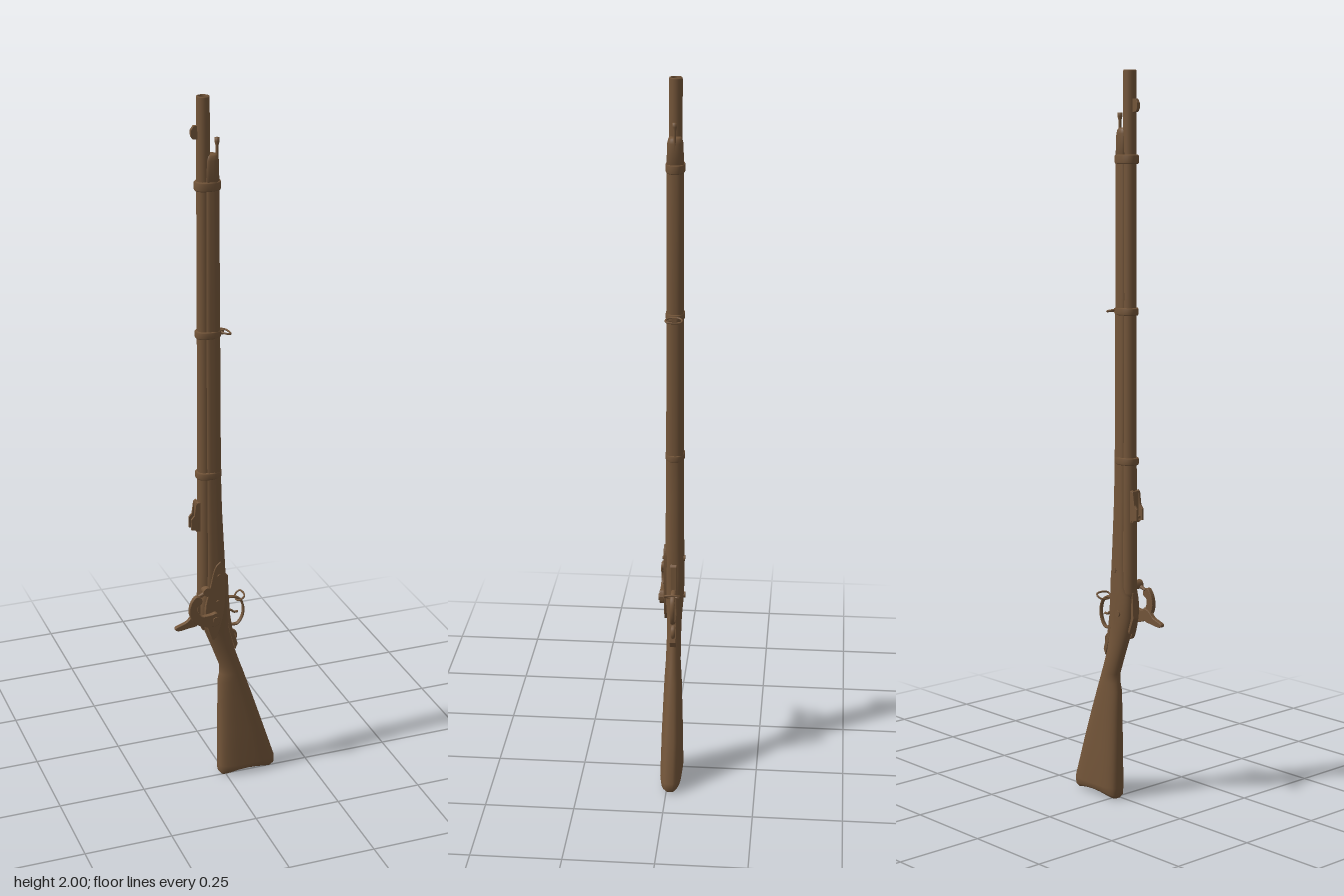
import * as THREE from 'three';

const Z0 = -0.01;      // mid-plane of the gun
const BARREL_X = -0.058;
const mat = new THREE.MeshStandardMaterial({ color: 0x735539, side: THREE.DoubleSide });

// Loft of rounded sections: rows of [y, xLeft, xRight, halfZ, leftPower, rightPower, lift]
function loft(rows, n = 36) {
  const pos = [], idx = [];
  for (const [y, xl, xr, hz, pl = 1, pr = 1, lift = 0] of rows) {
    for (let i = 0; i < n; i++) {
      const a = (i / n) * Math.PI * 2, c = Math.cos(a), s = Math.sin(a);
      const p = c < 0 ? pl : pr;
      const u = Math.sign(c) * Math.abs(c) ** p, v = Math.sign(s) * Math.abs(s) ** p;
      pos.push((xl + xr) / 2 + (u * (xr - xl)) / 2, y + lift * (1 - u * u), Z0 + v * hz);
    }
  }
  const m = rows.length;
  for (let r = 0; r < m - 1; r++) {
    for (let i = 0; i < n; i++) {
      const a = r * n + i, b = r * n + ((i + 1) % n);
      idx.push(a, a + n, b, b, a + n, b + n);
    }
  }
  // End caps
  for (const r of [0, m - 1]) {
    const [y, xl, xr, , , , lift = 0] = rows[r], centre = pos.length / 3;
    pos.push((xl + xr) / 2, y + lift, Z0);
    for (let i = 0; i < n; i++) {
      const a = r * n + i, b = r * n + ((i + 1) % n);
      idx.push(centre, ...(r === 0 ? [a, b] : [b, a]));
    }
  }
  const g = new THREE.BufferGeometry();
  g.setAttribute('position', new THREE.Float32BufferAttribute(pos, 3));
  g.setIndex(idx);
  g.computeVertexNormals();
  return g;
}

// Tube through points
function tube(points, radius, closed = false) {
  const curve = new THREE.CatmullRomCurve3(points.map((p) => new THREE.Vector3(...p)), closed);
  return new THREE.TubeGeometry(curve, 40, radius, 8, closed);
}

// Flat plate from a smooth or straight outline in x/y, spanning z0..z1
function plate(points, z0, z1, smooth = true, bevel = 0.002) {
  const v = points.map((p) => new THREE.Vector2(...p));
  const shape = smooth
    ? new THREE.Shape(new THREE.SplineCurve([...v, v[0]]).getPoints(64).slice(0, -1))
    : new THREE.Shape(v);
  const g = new THREE.ExtrudeGeometry(shape, {
    depth: z1 - z0 - 2 * bevel, bevelEnabled: bevel > 0,
    bevelThickness: bevel, bevelSize: bevel * 0.8, bevelSegments: 2,
  });
  return g.translate(0, 0, z0 + bevel);
}

export function createModel() {
  const model = new THREE.Group();
  const add = (name, geometry, x = 0, y = 0, z = 0) => {
    const mesh = new THREE.Mesh(geometry, mat);
    mesh.name = name;
    mesh.position.set(x, y, z);
    model.add(mesh);
    return mesh;
  };
  const screw = (name, x, y, z, r = 0.006, len = 0.006) =>
    add(name, new THREE.CylinderGeometry(r, r, len, 16).rotateX(Math.PI / 2), x, y, z);

  // Stock from butt to fore-end
  add('stock', loft([
    [0.003, -0.012, 0.142, 0.024, 0.6, 0.7, 0.014],
    [0.012, -0.019, 0.151, 0.029, 0.6, 0.7, 0.01],
    [0.035, -0.02, 0.152, 0.031, 0.6, 0.7],
    [0.15, -0.02, 0.115, 0.029, 0.7, 0.7],
    [0.25, -0.02, 0.083, 0.026, 0.8, 0.8],
    [0.31, -0.02, 0.063, 0.024, 0.9, 0.9],
    [0.335, -0.015, 0.055, 0.0225],
    [0.36, -0.015, 0.046, 0.021],
    [0.42, -0.037, 0.026, 0.02],
    [0.48, -0.06, 0.013, 0.021],
    [0.53, -0.075, 0.007, 0.025, 0.8, 0.9],
    [0.59, -0.075, 0.004, 0.027, 0.65, 0.8],
    [0.615, -0.062, 0.003, 0.027, 0.5, 0.8],
    [0.7, -0.06, -0.001, 0.026, 0.5, 0.9],
    [0.85, -0.06, -0.009, 0.0245, 0.5, 0.9],
    [0.96, -0.06, -0.012, 0.024, 0.5, 0.9],
    [1.4, -0.06, -0.014, 0.023, 0.5, 0.9],
    [1.78, -0.058, -0.016, 0.0225, 0.5, 0.9],
  ]));
  add('noseCap', loft([
    [1.775, -0.059, -0.0155, 0.023, 0.5, 0.9],
    [1.835, -0.056, -0.017, 0.0205, 0.5, 0.9],
    [1.846, -0.054, -0.02, 0.018, 0.6, 0.9],
    [1.85, -0.05, -0.024, 0.013, 0.6, 0.9],
  ]));

  // Hollow barrel with a thicker breech
  const barrelProfile = [[0, 0.585], [0.019, 0.585], [0.0215, 0.6], [0.0215, 0.68], [0.02, 0.9],
    [0.0185, 1.4], [0.0175, 1.997], [0.0165, 2], [0.0105, 2], [0.0105, 1.94], [0, 1.94]];
  add('barrel', new THREE.LatheGeometry(barrelProfile.map((p) => new THREE.Vector2(...p)), 32), BARREL_X, 0, Z0);
  add('breechTang', plate([[-0.079, 0.6], [-0.082, 0.53], [-0.066, 0.485], [-0.062, 0.49], [-0.072, 0.53], [-0.068, 0.6]],
    Z0 - 0.008, Z0 + 0.008, false, 0.001));

  // Barrel bands
  for (const [name, y, h, grow] of [['frontBand', 1.768, 0.024, 0], ['middleBand', 1.366, 0.02, 0], ['rearBand', 0.962, 0.02, 0.001]]) {
    const ring = (dy, d) => [y + dy, -0.08 - grow - d, -0.0125 + grow + d, 0.0235 + grow + d, 0.85, 0.9];
    add(name, loft([ring(-h / 2, 0), ring(-h / 2 + 0.003, 0.002), ring(h / 2 - 0.003, 0.002), ring(h / 2, 0)]));
  }

  // Ramrod
  const rod = [[0, 1.78], [0.0035, 1.78], [0.0035, 1.868], [0.0065, 1.88], [0.0065, 1.89], [0, 1.89]];
  add('ramrod', new THREE.LatheGeometry(rod.map((p) => new THREE.Vector2(...p)), 16), -0.02, 0, Z0);

  // Front sight
  add('frontSight', plate([[-0.073, 1.89], [-0.086, 1.892], [-0.091, 1.9], [-0.091, 1.915], [-0.084, 1.925], [-0.073, 1.925]],
    Z0 - 0.005, Z0 + 0.005, false, 0.001));

  // Rear sight: base, two side leaves and a folded leaf
  add('rearSightBase', new THREE.BoxGeometry(0.012, 0.085, 0.026), -0.08, 0.84, Z0);
  for (const s of [-1, 1]) {
    add('rearSightLeaf', plate([[-0.08, 0.885], [-0.086, 0.88], [-0.091, 0.845], [-0.1, 0.835], [-0.1, 0.805], [-0.08, 0.8]],
      Z0 + s * 0.0105 - 0.003, Z0 + s * 0.0105 + 0.003, false, 0.0008));
  }
  add('rearSightNotch', new THREE.BoxGeometry(0.014, 0.006, 0.022), -0.088, 0.812, Z0);

  // Lock plate and its screws
  add('lockPlate', plate([[-0.022, 0.7], [-0.038, 0.68], [-0.052, 0.62], [-0.064, 0.57], [-0.062, 0.52], [-0.045, 0.465],
    [-0.028, 0.485], [-0.014, 0.54], [-0.008, 0.6], [-0.01, 0.67]], 0.006, 0.0195));
  screw('lockScrew', -0.026, 0.66, 0.02, 0.005);
  screw('lockScrew', -0.03, 0.58, 0.02, 0.005);

  // Bolster and percussion nipple
  screw('bolster', -0.062, 0.618, 0.012, 0.013, 0.03);
  const nipple = add('nipple', new THREE.CylinderGeometry(0.004, 0.006, 0.022, 12), -0.079, 0.61, 0.02);
  nipple.rotation.z = Math.PI / 2 + 0.4;

  // Hammer: hub, curved body with head, and thumb spur
  screw('hammerPivot', -0.04, 0.53, 0.027, 0.01, 0.018);
  add('hammer', plate([[-0.028, 0.535], [-0.032, 0.517], [-0.05, 0.512], [-0.08, 0.518], [-0.104, 0.535], [-0.116, 0.562],
    [-0.112, 0.59], [-0.098, 0.61], [-0.084, 0.604], [-0.083, 0.59], [-0.095, 0.582], [-0.094, 0.562],
    [-0.08, 0.547], [-0.055, 0.547], [-0.038, 0.55]], 0.0195, 0.033));
  add('hammerSpur', plate([[-0.09, 0.555], [-0.108, 0.548], [-0.125, 0.533], [-0.152, 0.523], [-0.156, 0.517],
    [-0.145, 0.513], [-0.118, 0.517], [-0.092, 0.523]], 0.0145, 0.027));

  // Screw washers on the far side
  for (const [x, y] of [[-0.026, 0.66], [-0.04, 0.54]]) screw('sideWasher', x, y, Z0 - 0.0265, 0.0085);

  // Trigger guard: strap, bow and trigger
  add('guardStrap', plate([[0.0, 0.65], [0.006, 0.645], [0.009, 0.58], [0.013, 0.52], [0.02, 0.475], [0.036, 0.425],
    [0.03, 0.41], [0.015, 0.46], [0.002, 0.53], [-0.004, 0.6]], Z0 - 0.009, Z0 + 0.009, false, 0.002));
  add('guardBow', tube([[0.008, 0.574, 0], [0.03, 0.572, 0], [0.047, 0.56, 0], [0.056, 0.535, 0],
    [0.052, 0.505, 0], [0.037, 0.486, 0], [0.016, 0.487, 0]], 0.0035).scale(1, 1, 1.9), 0, 0, Z0);
  add('guardRearSpur', tube([[0.02, 0.47, 0], [0.03, 0.462, 0], [0.034, 0.45, 0], [0.03, 0.435, 0]], 0.004).scale(1, 1, 1.6), 0, 0, Z0);
  add('trigger', tube([[0.005, 0.535, 0], [0.018, 0.532, 0], [0.029, 0.524, 0], [0.04, 0.524, 0]], 0.0032).scale(1, 1, 1.3), 0, 0, Z0);

  // Sling swivels: wire loops lying across the gun
  const swivel = (name, x0, x1, y0, y1) => add(name, tube([[x0, y0, -0.014], [x0, y0, 0.014], [(x0 + x1) / 2, (y0 + y1) / 2, 0.022],
    [x1, y1, 0.018], [x1, y1, -0.018], [(x0 + x1) / 2, (y0 + y1) / 2, -0.022]], 0.0027, true), 0, 0, Z0);
  swivel('upperSwivel', -0.01, 0.011, 1.368, 1.363);
  swivel('lowerSwivel', 0.036, 0.053, 0.566, 0.579);
  add('upperSwivelLug', new THREE.BoxGeometry(0.012, 0.012, 0.012), -0.009, 1.366, Z0);

  return model;
}
